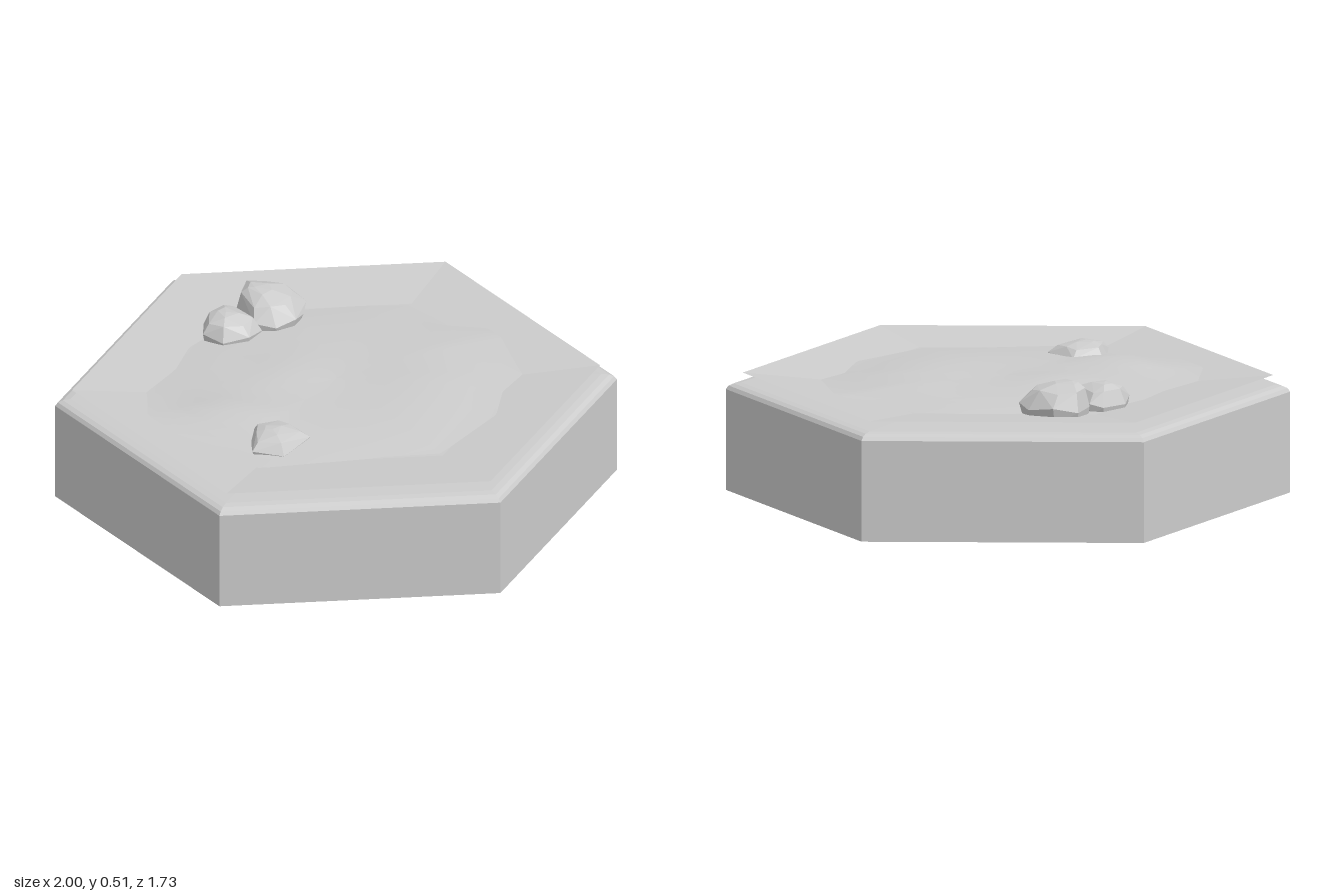
import * as THREE from 'three';
import { ConvexGeometry } from 'three/addons/geometries/ConvexGeometry.js';

const flat = new THREE.MeshStandardMaterial({ color: 0xcccccc, flatShading: true });
const sheet = new THREE.MeshStandardMaterial({ color: 0xcccccc, flatShading: true, side: THREE.DoubleSide });
const smooth = new THREE.MeshStandardMaterial({ color: 0xcccccc, side: THREE.DoubleSide });

// Six-sided lathe with corners on the x axis, from [radius, y] points
function hexLathe(profile) {
  return new THREE.LatheGeometry(profile.map(([r, y]) => new THREE.Vector2(r, y)), 6, Math.PI / 2);
}

// Height of the dished ground sheet
function sheetHeight(x, z) {
  const r = Math.max(Math.abs(z), Math.abs(z) / 2 + Math.abs(x) * 0.866) / 0.866;
  return 0.4 + 0.025 * THREE.MathUtils.clamp((r - 0.65) / 0.29, 0, 1);
}

// Gentle mounds: x, z, height, spread
const mounds = [[0, 0.47, 0.036, 0.14], [-0.15, 0.1, 0.014, 0.15], [0.25, -0.2, 0.012, 0.22], [0, -0.45, 0.01, 0.18]];

// Irregular earth patch made of shrinking outline rings
function patchGeometry() {
  const outline = [[0.65, 0], [0.55, 0.18], [0.45, 0.4], [0.36, 0.6], [0.2, 0.6], [0, 0.7], [-0.2, 0.7], [-0.34, 0.6],
    [-0.43, 0.4], [-0.53, 0.27], [-0.57, 0], [-0.53, -0.22], [-0.42, -0.42], [-0.33, -0.56], [-0.12, -0.58],
    [0, -0.68], [0.08, -0.68], [0.33, -0.59], [0.4, -0.45], [0.54, -0.32]];
  const n = outline.length, rings = 10, pos = [], index = [];
  for (let i = 0; i <= rings; i++) {
    const f = i / rings;
    for (const [ox, oz] of outline) {
      const x = ox * f, z = oz * f;
      let y = sheetHeight(x, z) - 0.002 + 0.02 * (1 - f ** 4);
      for (const [mx, mz, h, s] of mounds) {
        y += h * (1 - f ** 6) * Math.exp(-((x - mx) ** 2 + (z - mz) ** 2) / (s * s));
      }
      pos.push(x, y, z);
    }
  }
  for (let i = 0; i < rings; i++) {
    for (let j = 0; j < n; j++) {
      const a = i * n + j, b = i * n + (j + 1) % n;
      if (i > 0) index.push(a, b, b + n);
      index.push(a, b + n, a + n);
    }
  }
  const g = new THREE.BufferGeometry();
  g.setAttribute('position', new THREE.Float32BufferAttribute(pos, 3));
  g.setIndex(index);
  g.computeVertexNormals();
  return g;
}

// Faceted stone: a plan outline, narrowing to an off-centre crown
function stoneGeometry(outline, top, cx, cz) {
  const points = [];
  const base = 0.385, h = top - base;
  outline.forEach(([x, z], i) => {
    const at = (f, y) => points.push(new THREE.Vector3(cx + (x - cx) * f, y, cz + (z - cz) * f));
    at(0.92, base);
    at(1, base + h * (i % 2 ? 0.42 : 0.3));
    at(0.74, base + h * (i % 2 ? 0.76 : 0.82));
    if (i % 2 === 0) at(0.36, base + h * 0.97);
  });
  points.push(new THREE.Vector3(cx, top, cz));
  return new ConvexGeometry(points);
}

export function createModel() {
  const model = new THREE.Group();
  const add = (name, geometry, material) => {
    const mesh = new THREE.Mesh(geometry, material);
    mesh.name = name;
    model.add(mesh);
  };

  // Hexagonal slab with a rounded upper edge
  add('tileBase', hexLathe([[0, 0], [1, 0], [1, 0.365], [0.99, 0.378], [0.972, 0.386], [0.945, 0.39], [0.65, 0.394], [0, 0.394]]), flat);

  // Thin ground sheet, raised at its rim
  add('groundSheet', hexLathe([[0.94, 0.425], [0.65, 0.4], [0, 0.4]]), sheet);

  add('earthPatch', patchGeometry(), smooth);

  // Stones
  add('largeStone', stoneGeometry([[-0.7, -0.1], [-0.66, -0.18], [-0.57, -0.23], [-0.5, -0.23], [-0.45, -0.18],
    [-0.41, -0.12], [-0.42, -0.04], [-0.47, 0.02], [-0.62, -0.01]], 0.515, -0.58, -0.06), flat);
  add('smallStone', stoneGeometry([[-0.63, 0.04], [-0.6, 0], [-0.45, 0], [-0.415, 0.08], [-0.45, 0.17],
    [-0.53, 0.2], [-0.61, 0.14]], 0.487, -0.53, 0.1), flat);
  add('frontStone', stoneGeometry([[0.12, 0.45], [0.14, 0.34], [0.21, 0.325], [0.29, 0.32], [0.34, 0.47],
    [0.26, 0.55], [0.18, 0.5]], 0.46, 0.23, 0.44), flat);
  return model;
}
